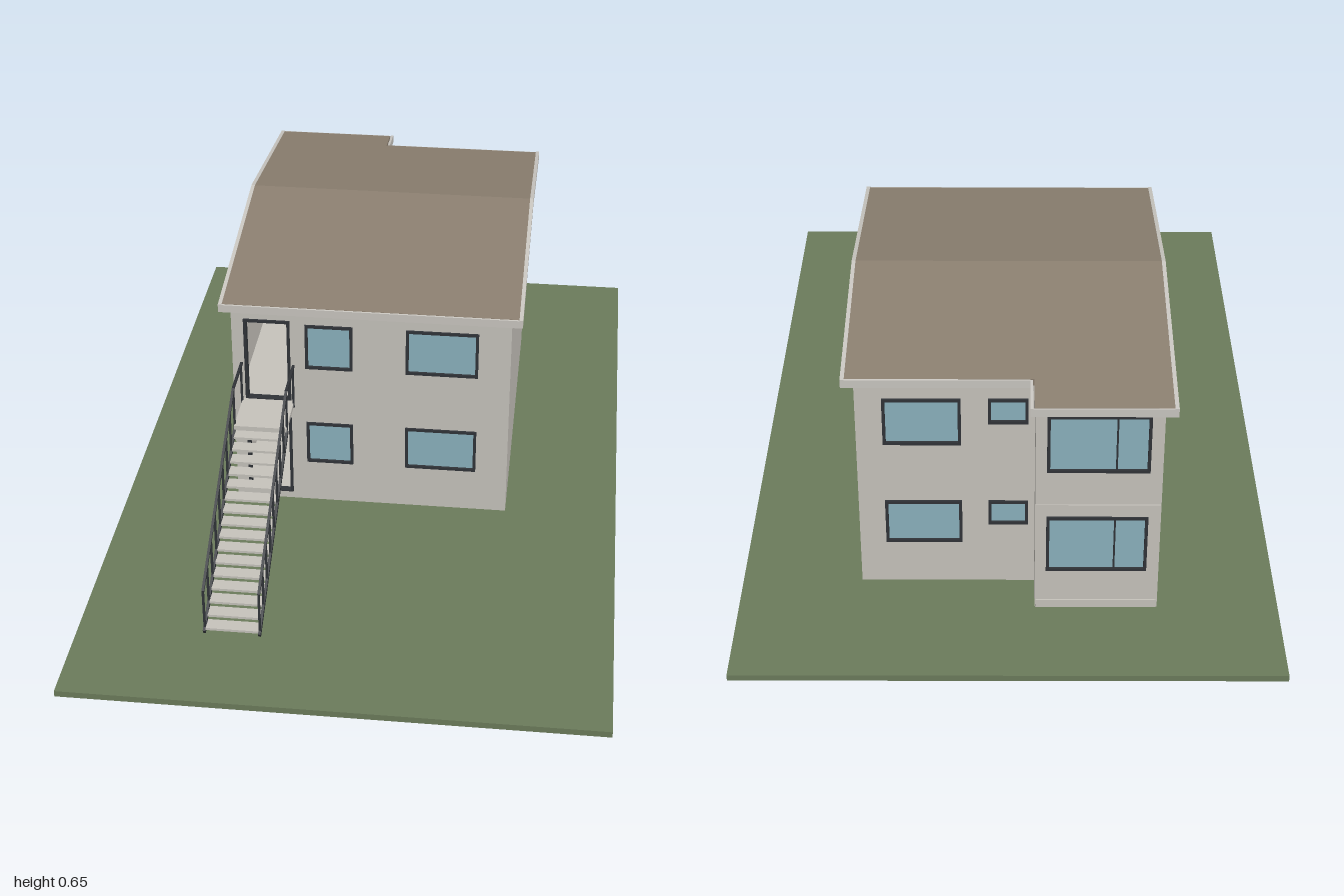
import * as THREE from 'three';

const mat = (name, color) => Object.assign(new THREE.MeshStandardMaterial({ color }), { name });

export function createModel() {
  const wallMat = mat('plaster', 0xc6c3bc);
  const roofMat = mat('roofing', 0x8b7f70);
  const grass = mat('grass', 0x6b7b5b);
  const glass = mat('glass', 0x8ab1bd);
  const dark = mat('dark metal', 0x303338);
  const trim = mat('trim', 0xc9c6c0);

  const model = new THREE.Group();
  model.name = 'house';
  const house = new THREE.Group();
  house.name = 'building';
  const stairs = new THREE.Group();
  stairs.name = 'outsideStairs';
  model.add(house, stairs);

  const add = (parent, name, geo, material) => {
    const mesh = new THREE.Mesh(geo, material);
    mesh.name = name;
    parent.add(mesh);
    return mesh;
  };
  // box given by its min and max on each axis
  const box = (parent, name, m, x0, x1, y0, y1, z0, z1) => {
    const g = new THREE.BoxGeometry(x1 - x0, y1 - y0, z1 - z0);
    g.translate((x0 + x1) / 2, (y0 + y1) / 2, (z0 + z1) / 2);
    return add(parent, name, g, m);
  };
  const rect = (C, x0, x1, y0, y1) => {
    const p = new C();
    p.moveTo(x0, y0).lineTo(x1, y0).lineTo(x1, y1).lineTo(x0, y1).closePath();
    return p;
  };
  const extrude = (shape, depth) => new THREE.ExtrudeGeometry(shape, { depth, bevelEnabled: false });
  // (z, y) profile pushed along x from x0 to x1
  const alongX = (parent, name, m, pts, x0, x1) => {
    const shape = new THREE.Shape(pts.map(([z, y]) => new THREE.Vector2(z, y)));
    const g = extrude(shape, x1 - x0);
    g.rotateY(-Math.PI / 2).translate(x1, 0, 0);
    return add(parent, name, g, m);
  };
  // bar between two points of the zy plane
  const bar = (name, m, x, z0, y0, z1, y1, w, h) => {
    const b = add(stairs, name, new THREE.BoxGeometry(w, h, Math.hypot(z1 - z0, y1 - y0)), m);
    b.position.set(x, (y0 + y1) / 2, (z0 + z1) / 2);
    b.rotation.x = -Math.atan2(y1 - y0, z1 - z0);
  };

  box(model, 'lawn', grass, -0.617, 0.617, 0, 0.015, -1, 1);

  const W = 0.34, T = 0.012, FRONT = 0.2, BACK = -0.67, BAY = -0.765, BAYX = -0.06;
  const RIDGE = -0.285, roofY = z => 0.652 - Math.abs(z - RIDGE) * 0.1445;
  const underY = z => roofY(z) - 0.017;

  // wall facing s along z, with openings [x0, x1, y0, y1, kind, mullion]
  const facade = (name, x0, x1, z, s, openings) => {
    const shape = rect(THREE.Shape, x0, x1, 0.015, underY(z));
    openings.forEach(([a, b, c, d]) => shape.holes.push(rect(THREE.Path, a, b, c, d)));
    const inner = z - s * T;
    add(house, name, extrude(shape, T).translate(0, 0, Math.min(z, inner)), wallMat);
    for (const [a, b, c, d, kind, mullion] of openings) {
      const f = 0.007, ring = rect(THREE.Shape, a, b, c, d);
      ring.holes.push(rect(THREE.Path, a + f, b - f, kind === 'door' ? c + 0.002 : c + f, d - f));
      const z0 = Math.min(z + s * 0.005, inner - s * 0.002);
      add(house, kind + 'Frame', extrude(ring, T + 0.007).translate(0, 0, z0), dark);
      if (kind === 'door') continue;
      const zc = z - s * 0.003;
      box(house, 'windowGlass', glass, a + f, b - f, c + f, d - f, zc - 0.002, zc + 0.002);
      if (mullion !== undefined)
        box(house, 'mullion', dark, mullion - 0.002, mullion + 0.002, c + f, d - f, zc - 0.005, zc + 0.005);
    }
  };

  // front: two doorways and four windows
  const front = [], rear = [], bay = [];
  for (const up of [0, 1]) {
    const y0 = up ? 0.402 : 0.13, y1 = up ? 0.524 : 0.246;
    front.push([-0.31, -0.197, up ? 0.308 : 0.036, up ? 0.532 : 0.256, 'door'],
      [-0.16, -0.044, y0, y1, 'window'], [0.086, 0.262, y0, y1, 'window']);
    rear.push([0.105, 0.28, y0, y1, 'window'], [-0.045, 0.045, y1 - 0.065, y1, 'window']);
    bay.push([-0.312, -0.085, up ? 0.395 : 0.122, up ? 0.545 : 0.272, 'window', -0.238]);
  }
  facade('frontWall', -W + T, W - T, FRONT, 1, front);
  facade('backWall', BAYX, W - T, BACK, -1, rear);
  facade('bayWall', -W + T, BAYX - T, BAY, -1, bay);

  // gable walls and the bay return
  const gable = back => [[FRONT, 0.015], [FRONT, underY(FRONT)], [RIDGE, underY(RIDGE)],
    [back, underY(back)], [back, 0.015]];
  alongX(house, 'leftGableWall', wallMat, gable(BACK), W - T, W);
  alongX(house, 'rightGableWall', wallMat, gable(BAY), -W, -W + T);
  box(house, 'bayReturnWall', wallMat, BAYX - T, BAYX, 0.015, underY(BACK) - 0.008, BAY, BACK + T);

  // floors, showing as thin bands on the bay
  for (const [y0, y1] of [[0.015, 0.036], [0.288, 0.306]]) {
    box(house, 'floor', wallMat, -W + T, W - T, y0, y1, BACK + T, FRONT - T);
    box(house, 'bayFloor', wallMat, -W + 0.002, BAYX - 0.002, y0, y1, BAY - 0.003, BACK + T);
  }

  // roof, deeper over the bay, edged with light boards
  const EDGE = 0.222, RBACK = -0.7, RBAY = -0.792, RX = 0.366, SPLIT = -0.048, B = 0.009;
  const band = (z0, z1, top, bottom) => {
    const zs = z0 > RIDGE && z1 < RIDGE ? [z0, RIDGE, z1] : [z0, z1];
    return [...zs.map(z => [z, roofY(z) + top]), ...zs.reverse().map(z => [z, roofY(z) + bottom])];
  };
  alongX(house, 'mainRoof', roofMat, band(EDGE - 0.004, RBACK + 0.004, 0, -0.017), SPLIT - B, RX - B);
  alongX(house, 'bayRoof', roofMat, band(EDGE - 0.004, RBAY + 0.004, 0, -0.017), -RX + B, SPLIT - B);
  alongX(house, 'leftBargeBoard', trim, band(EDGE, RBACK, 0.001, -0.02), RX - B, RX);
  alongX(house, 'rightBargeBoard', trim, band(EDGE, RBAY, 0.001, -0.02), -RX, -RX + B);
  alongX(house, 'bayBargeBoard', trim, band(RBACK, RBAY, 0.001, -0.02), SPLIT - 0.006, SPLIT);
  const fascia = (name, x0, x1, z0, z1) =>
    alongX(house, name, trim, band(z0, z1, -0.0005, -0.02), x0, x1);
  fascia('frontFascia', -RX + B, RX - B, EDGE, EDGE - 0.004);
  fascia('backFascia', SPLIT, RX - B, RBACK + 0.004, RBACK);
  fascia('bayFascia', -RX + B, SPLIT - 0.006, RBAY + 0.004, RBAY);

  // landing and treads
  const SX0 = -0.318, SX1 = -0.19, TOPZ = 0.32, ENDZ = 0.775, TOPY = 0.306, ENDY = 0.045;
  box(stairs, 'landing', wallMat, SX0, SX1, TOPY - 0.012, TOPY, FRONT, TOPZ + 0.01);
  const STEPS = 16;
  for (let i = 1; i <= STEPS; i++) {
    const t = i / STEPS;
    const y = THREE.MathUtils.lerp(TOPY, ENDY, t), z = THREE.MathUtils.lerp(TOPZ, ENDZ, t);
    box(stairs, 'tread', wallMat, SX0 + 0.003, SX1 - 0.003, y - 0.006, y, z - 0.027, z + 0.006);
  }

  // stringers and railings on both sides
  const RAIL = 0.1, POSTS = 8;
  for (const x of [SX0, SX1]) {
    bar('stringer', dark, x, TOPZ, TOPY - 0.012, ENDZ + 0.008, ENDY - 0.01, 0.006, 0.012);
    bar('stairRail', dark, x, TOPZ, TOPY + RAIL, ENDZ, ENDY + RAIL, 0.006, 0.006);
    bar('landingRail', dark, x, FRONT, TOPY + RAIL, TOPZ, TOPY + RAIL, 0.006, 0.006);
    const post = (z, y) => box(stairs, 'railPost', dark, x - 0.0025, x + 0.0025, y - 0.012, y + RAIL, z - 0.0025, z + 0.0025);
    post(FRONT + 0.012, TOPY);
    for (let i = 0; i <= POSTS; i++) {
      const t = i / POSTS;
      post(THREE.MathUtils.lerp(TOPZ, ENDZ, t), THREE.MathUtils.lerp(TOPY, ENDY, t));
    }
  }
  return model;
}
